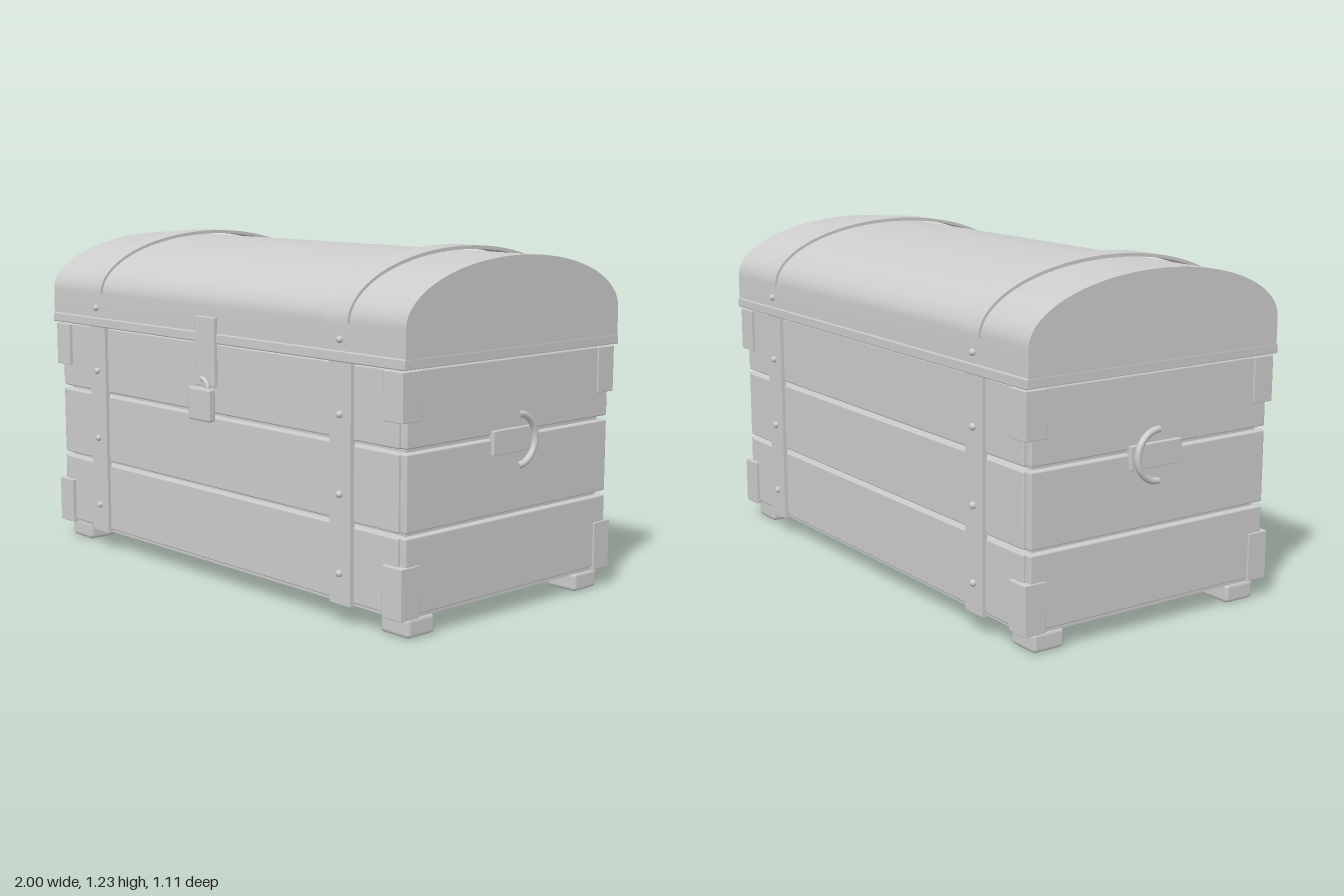
import * as THREE from 'three';
import { toCreasedNormals } from 'three/addons/utils/BufferGeometryUtils.js';
import { RoundedBoxGeometry } from 'three/addons/geometries/RoundedBoxGeometry.js';

export function createModel() {
  const chest = new THREE.Group();
  chest.name = 'chest';
  const grey = new THREE.MeshStandardMaterial({ color: 0xcccccc });
  grey.name = 'plain grey';

  const add = (name, geometry, x = 0, y = 0, z = 0) => {
    const mesh = new THREE.Mesh(geometry, grey);
    mesh.name = name;
    mesh.position.set(x, y, z);
    chest.add(mesh);
    return mesh;
  };
  // Box given by its centre in x and z and its vertical range, with optional bevel
  const box = (name, x, z, w, d, y0, y1, bevel = 0) => {
    const geometry = bevel
      ? new RoundedBoxGeometry(w, y1 - y0, d, 1, bevel)
      : new THREE.BoxGeometry(w, y1 - y0, d);
    return add(name, geometry, x, (y0 + y1) / 2, z);
  };
  // Profile drawn across the depth, extruded along x and centred
  const extrudeX = (shape, width) => {
    const geometry = new THREE.ExtrudeGeometry(shape, { depth: width, bevelEnabled: false, curveSegments: 28 });
    geometry.translate(0, 0, -width / 2).rotateY(Math.PI / 2);
    return toCreasedNormals(geometry, 0.6);
  };

  // Body core and planks
  box('bodyCore', 0, 0, 1.88, 0.948, 0.075, 0.88);
  box('bottomBoard', 0, 0, 1.92, 1.0, 0.07, 0.084);
  for (const [y0, y1] of [[0.08, 0.335], [0.35, 0.605], [0.62, 0.868]]) {
    for (const s of [-1, 1]) {
      box('longPlank', 0, s * 0.484, 1.88, 0.05, y0, y1, 0.006);
      box('endPlank', s * 0.94, 0, 0.05, 0.996, y0, y1, 0.006);
    }
  }

  // Domed lid
  const dome = new THREE.Shape();
  dome.moveTo(-0.523, 0.873);
  dome.lineTo(0.523, 0.873);
  dome.lineTo(0.523, 1.0);
  dome.absellipse(0, 1.0, 0.523, 0.206, 0, Math.PI, false);
  dome.closePath();
  add('lid', extrudeX(dome, 1.964));
  box('lidRim', 0, 0, 1.966, 1.06, 0.872, 0.908, 0.005);

  // Arched lid bands, standing slightly clear of the dome
  const arch = new THREE.Shape();
  arch.moveTo(0.539, 1.0);
  arch.absellipse(0, 1.0, 0.539, 0.225, 0, Math.PI, false);
  arch.lineTo(-0.529, 1.0);
  arch.absellipse(0, 1.0, 0.529, 0.213, Math.PI, 0, true);
  arch.closePath();
  for (const x of [-0.687, 0.687]) {
    add('lidBand', extrudeX(arch, 0.1), x);
    for (const s of [-1, 1]) {
      // Body straps with rivets
      box('bodyStrap', x, s * 0.514, 0.1, 0.018, 0.07, 0.873);
      for (const y of [0.175, 0.44, 0.702, 0.945]) {
        add('rivet', new THREE.SphereGeometry(0.0125, 12, 8), x, y, s * 0.526);
      }
    }
  }

  // Corner brackets and feet
  for (const sx of [-1, 1]) {
    for (const sz of [-1, 1]) {
      for (const [y0, y1] of [[0.07, 0.242], [0.705, 0.866]]) {
        box('cornerBracket', sx * 0.926, sz * 0.4805, 0.088, 0.085, y0, y1, 0.003);
      }
      box('foot', sx * 0.893, sz * 0.415, 0.132, 0.126, 0, 0.07, 0.016);
    }
    // End handles
    box('handlePlate', sx * 0.967, 0, 0.024, 0.215, 0.552, 0.635, 0.003);
    const ring = add('handleRing', new THREE.TorusGeometry(0.087, 0.012, 10, 24, Math.PI), sx * 0.988, 0.595, 0);
    ring.rotation.set(-Math.PI / 2, Math.PI / 2, 0, 'XYZ');
  }

  // Hasp and padlock
  box('hasp', 0, 0.531, 0.11, 0.016, 0.72, 0.965, 0.003);
  box('padlockBody', 0, 0.553, 0.12, 0.032, 0.598, 0.715, 0.008);
  const shackle = add('padlockShackle', new THREE.TorusGeometry(0.037, 0.009, 8, 20, Math.PI), 0, 0.712, 0.553);
  shackle.rotation.z = -Math.PI / 2;

  // The body sits slightly behind centre because the padlock projects at the front
  for (const part of chest.children) part.position.z -= 0.013;
  return chest;
}
